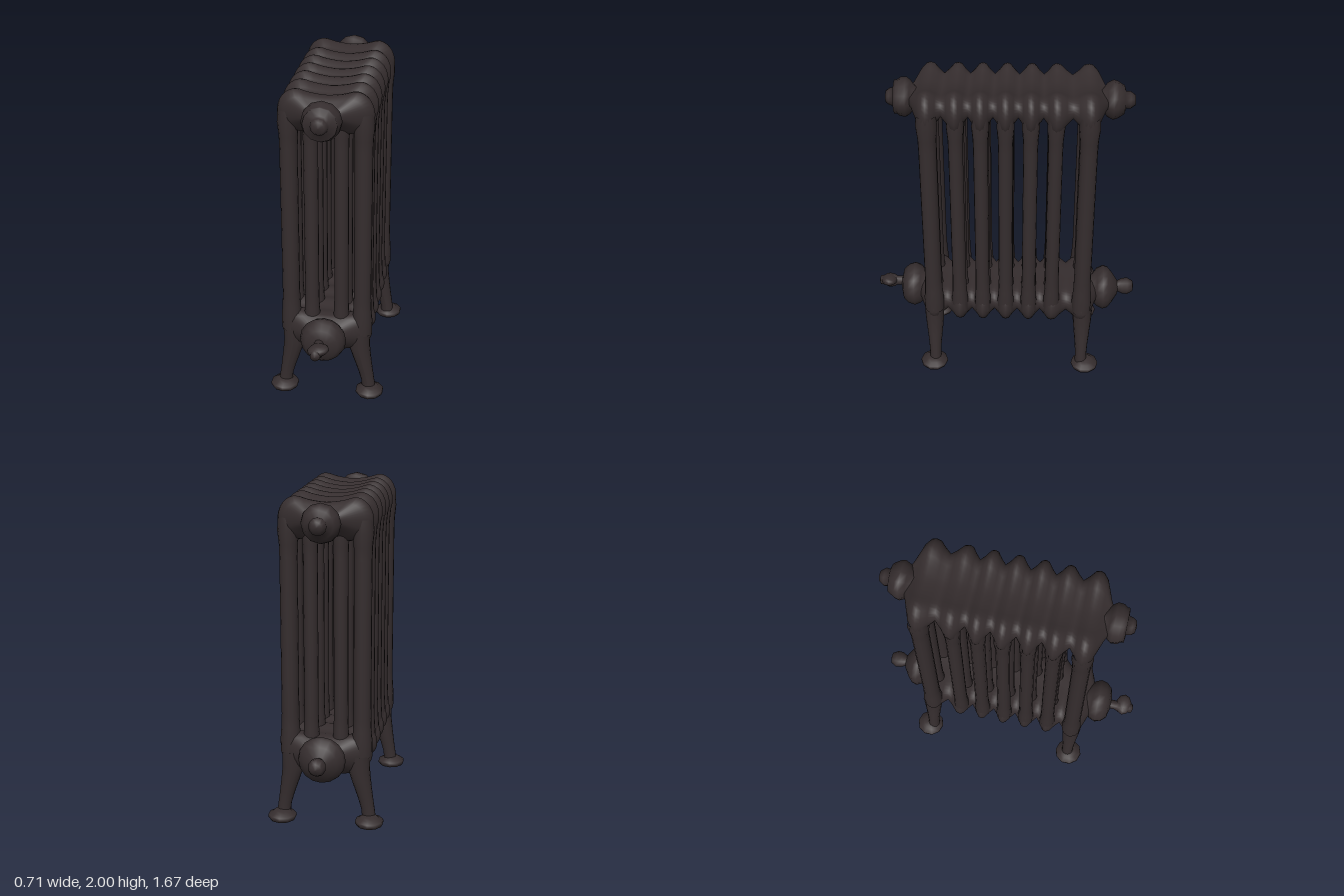
import * as THREE from 'three';

const iron = new THREE.MeshStandardMaterial({ color: 0x352d2e });
iron.name = 'dark cast iron';

const SECTIONS = [-0.485, -0.292, -0.146, 0, 0.146, 0.292, 0.457];

function add(parent, geometry, name, x = 0, y = 0, z = 0) {
  const mesh = new THREE.Mesh(geometry, iron);
  mesh.name = name;
  mesh.position.set(x, y, z);
  parent.add(mesh);
  return mesh;
}

const lathe = (pts, seg) =>
  new THREE.LatheGeometry(pts.map(([r, y]) => new THREE.Vector2(r, y)), seg);

// Turned part along the z axis, profile given as [radius, z] with z rising
const latheZ = (pts, seg = 16) => lathe(pts, seg).rotateX(Math.PI / 2);

// Closed smooth outline from its right half, bottom centre to top centre
function outline(half) {
  const left = half.slice(1, -1).reverse().map(([x, y]) => [-x, y]);
  const pts = half.concat(left).map(([x, y]) => new THREE.Vector3(x, y, 0));
  return new THREE.CatmullRomCurve3(pts, true, 'centripetal').getPoints(48).slice(0, 48);
}

// Header: outlines swell at every section and shrink between them
function headerGeometry(lobeHalf, valleyHalf, cy) {
  const lobe = outline(lobeHalf), valley = outline(valleyHalf);
  const n = lobe.length, rings = [];
  const ring = (z, w, s = 1) => rings.push(lobe.map((p, i) => [
    s * THREE.MathUtils.lerp(valley[i].x, p.x, w),
    cy + s * (THREE.MathUtils.lerp(valley[i].y, p.y, w) - cy), z]));
  const last = SECTIONS.length - 1;
  ring(SECTIONS[0] - 0.12, 0, 0.35);
  ring(SECTIONS[0] - 0.095, 0, 0.6);
  SECTIONS.forEach((z, i) => {
    const back = i ? (z - SECTIONS[i - 1]) / 2 : 0.085;
    const front = i < last ? (SECTIONS[i + 1] - z) / 2 : 0.085;
    ring(z - back * 0.62, 0.42);
    ring(z - back * 0.28, 0.9);
    ring(z, 1);
    ring(z + front * 0.28, 0.9);
    ring(z + front * 0.62, 0.42);
    if (i < last) ring(z + front, 0);
  });
  ring(SECTIONS[last] + 0.095, 0, 0.6);
  ring(SECTIONS[last] + 0.12, 0, 0.35);

  const index = [];
  for (let i = 0; i < rings.length - 1; i++) {
    for (let j = 0; j < n; j++) {
      const a = i * n + j, b = i * n + (j + 1) % n;
      index.push(a, b, b + n, a, b + n, a + n);
    }
  }
  const g = new THREE.BufferGeometry();
  g.setAttribute('position', new THREE.Float32BufferAttribute(rings.flat(2), 3));
  g.setIndex(index);
  g.computeVertexNormals();
  return g;
}

// Upright tube, flared where it joins the headers
const columnGeometry = (r) => lathe([
  [r * 1.15, 0.44], [r * 1.18, 0.52], [r * 1.06, 0.6], [r, 0.68],
  [r, 1.64], [r * 1.04, 1.72], [r * 1.2, 1.8], [r * 1.1, 1.88]], 14);

// Splayed leg: a turned profile whose centre drifts outward toward the floor
function legGeometry(side) {
  const rows = [[0.04, 0.265, 0.042], [0.1, 0.258, 0.041], [0.17, 0.243, 0.046],
    [0.26, 0.222, 0.056], [0.35, 0.203, 0.066], [0.45, 0.2, 0.07]];
  const g = lathe(rows.map(([y, , r]) => [r, y]), 14);
  const p = g.attributes.position;
  for (let i = 0; i < p.count; i++) {
    const row = rows.find(([y]) => Math.abs(y - p.getY(i)) < 1e-4);
    p.setX(i, p.getX(i) + side * row[1]);
    p.setZ(i, p.getZ(i) * 0.9);
  }
  g.computeVertexNormals();
  return g;
}

export function createModel() {
  const model = new THREE.Group();
  model.name = 'radiator';

  // Upper and lower headers
  add(model, headerGeometry(
    [[0, 1.745], [0.09, 1.745], [0.18, 1.755], [0.262, 1.79], [0.28, 1.88],
      [0.25, 1.96], [0.185, 2.0], [0.1, 1.98], [0, 1.968]],
    [[0, 1.82], [0.08, 1.82], [0.15, 1.83], [0.19, 1.85], [0.205, 1.89],
      [0.19, 1.925], [0.15, 1.945], [0.08, 1.94], [0, 1.935]], 1.875), 'upperHeader');
  add(model, headerGeometry(
    [[0, 0.313], [0.12, 0.32], [0.22, 0.355], [0.273, 0.41], [0.28, 0.47],
      [0.25, 0.55], [0.19, 0.57], [0.1, 0.56], [0, 0.555]],
    [[0, 0.37], [0.08, 0.37], [0.15, 0.385], [0.19, 0.42], [0.205, 0.46],
      [0.19, 0.5], [0.15, 0.53], [0.08, 0.54], [0, 0.54]], 0.455), 'lowerHeader');

  // Four columns in each section, the outer end ones thicker
  SECTIONS.forEach((z, i) => {
    const end = i === 0 || i === SECTIONS.length - 1;
    for (const side of [-1, 1]) {
      add(model, columnGeometry(end ? 0.053 : 0.043), 'outerColumn', side * 0.219, 0, z);
      add(model, columnGeometry(0.043), 'innerColumn', side * 0.09, 0, z);
    }
  });

  // Legs and round feet
  const foot = lathe([[0, 0.012], [0.035, 0.012], [0.045, 0], [0.078, 0.006], [0.088, 0.022],
    [0.086, 0.038], [0.06, 0.05], [0.045, 0.065], [0, 0.07]], 10);
  for (const [z, footZ] of [[0.46, 0.468], [-0.495, -0.52]]) {
    for (const side of [-1, 1]) {
      add(model, legGeometry(side), 'leg', 0, 0, z);
      add(model, foot, 'foot', side * 0.27, 0, footZ);
    }
  }

  // Upper end caps
  add(model, latheZ([[0.06, 0.5], [0.065, 0.54], [0.1, 0.565], [0.117, 0.59], [0.115, 0.625],
    [0.1, 0.645], [0.1, 0.66], [0.055, 0.665], [0.05, 0.69], [0.035, 0.71], [0, 0.715]], 12),
  'upperFrontCap', 0, 1.87, 0);
  add(model, latheZ([[0, -0.757], [0.03, -0.755], [0.052, -0.725], [0.05, -0.7], [0.085, -0.69],
    [0.11, -0.65], [0.117, -0.625], [0.1, -0.59], [0.065, -0.565], [0.06, -0.53]], 12),
  'upperBackCap', 0, 1.87, 0);

  // Lower end caps
  add(model, latheZ([[0.08, 0.48], [0.085, 0.53], [0.125, 0.56], [0.142, 0.6], [0.13, 0.64],
    [0.1, 0.672], [0.045, 0.685], [0, 0.69]]), 'lowerFrontCap', 0, 0.455, 0);
  add(model, latheZ([[0, -0.735], [0.045, -0.725], [0.1, -0.69], [0.135, -0.66], [0.144, -0.63],
    [0.125, -0.59], [0.085, -0.56], [0.08, -0.5]]), 'lowerBackCap', 0, 0.455, 0);

  // Pipe stub at the back
  add(model, latheZ([[0, -0.832], [0.035, -0.825], [0.054, -0.79], [0.05, -0.755],
    [0.037, -0.73], [0.037, -0.68]], 10), 'pipeStub', 0, 0.467, 0);

  // Valve at the front
  add(model, latheZ([[0.03, 0.66], [0.03, 0.72], [0.042, 0.74], [0.045, 0.775],
    [0.032, 0.8], [0.028, 0.83], [0, 0.838]], 10), 'valveBody', -0.01, 0.472, 0);
  const handle = add(model, new THREE.SphereGeometry(1, 10, 8), 'valveHandle', 0, 0.485, 0.77);
  handle.scale.set(0.068, 0.034, 0.052);
  handle.rotation.z = 0.2;

  return model;
}
